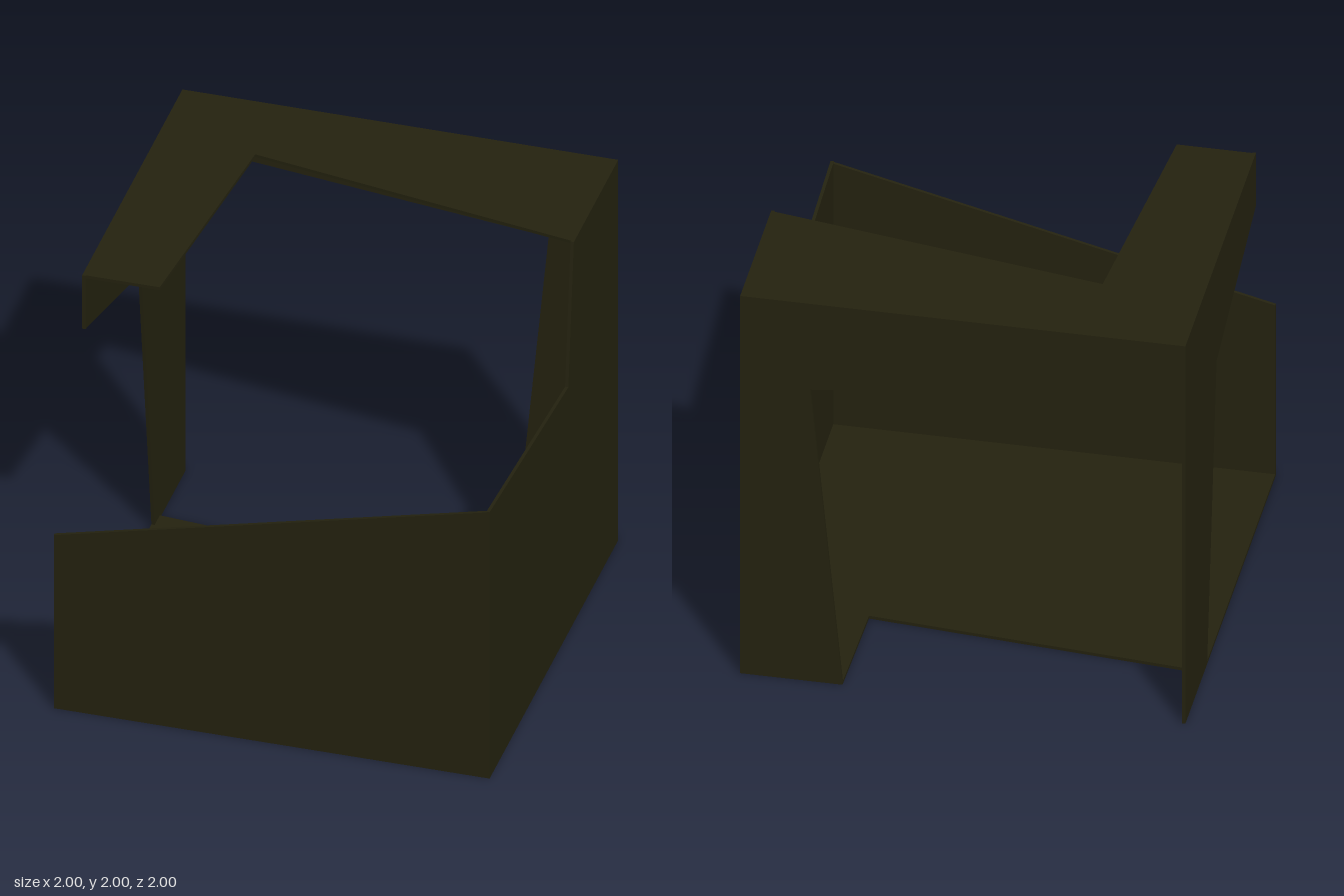
import * as THREE from 'three';

const T = 0.015; // panel thickness
const X = new THREE.Vector3(1, 0, 0);
const Y = new THREE.Vector3(0, 1, 0);
const Z = new THREE.Vector3(0, 0, 1);

export function createModel() {
  const group = new THREE.Group();
  group.name = 'openCubeFrame';
  const olive = new THREE.MeshStandardMaterial({ color: 0x24220f });
  olive.name = 'darkOlive';

  // Flat panel drawn along axes u and v, thickened along u x v from the origin
  function panel(name, u, v, origin, points) {
    const shape = new THREE.Shape(points.map(([a, b]) => new THREE.Vector2(a, b)));
    const geometry = new THREE.ExtrudeGeometry(shape, { depth: T, bevelEnabled: false });
    const n = new THREE.Vector3().crossVectors(u, v);
    geometry.applyMatrix4(new THREE.Matrix4().makeBasis(u, v, n).setPosition(...origin));
    const mesh = new THREE.Mesh(geometry, olive);
    mesh.name = name;
    group.add(mesh);
  }

  // Low front wall with a sloping top (x, y)
  panel('frontPanel', X, Y, [0, 0, 1 - T],
    [[-1, 0], [1, 0], [1, 1.4], [-1, 0.91]]);

  // Back post with a header tapering across (x, y)
  panel('backPanel', X, Y, [0, 0, -1],
    [[0.54, 0], [1, 0], [1, 2], [-1, 2], [-1, 1.725], [0.685, 1.545]]);

  // Left side: low wall rising to a full-height rear post (z, y)
  panel('leftPanel', Z, Y, [1, 0, 0],
    [[-1, 0], [1, 0], [1, 1.4], [-0.225, 1.29], [-0.31, 2], [-1, 2]]);

  // Right side: rear post with an arm reaching forward at the top (z, y)
  panel('rightPanel', Z, Y, [-1 + T, 0, 0],
    [[-1, 0], [-0.52, 0], [-0.31, 1.47], [0.56, 1.72], [0.56, 2], [-1, 2]]);

  // L-shaped roof (x, z)
  panel('topPanel', X, Z, [0, 2, 0],
    [[-1, -1], [1, -1], [1, -0.315], [-0.545, -0.59], [-0.645, 0.555], [-1, 0.555]]);

  // Floor with a notch at the back (x, z)
  panel('bottomPanel', X, Z, [0, T, 0],
    [[-1, -0.6], [0.53, -0.465], [0.54, -1], [1, -1], [1, 1], [-1, 1]]);

  return group;
}
